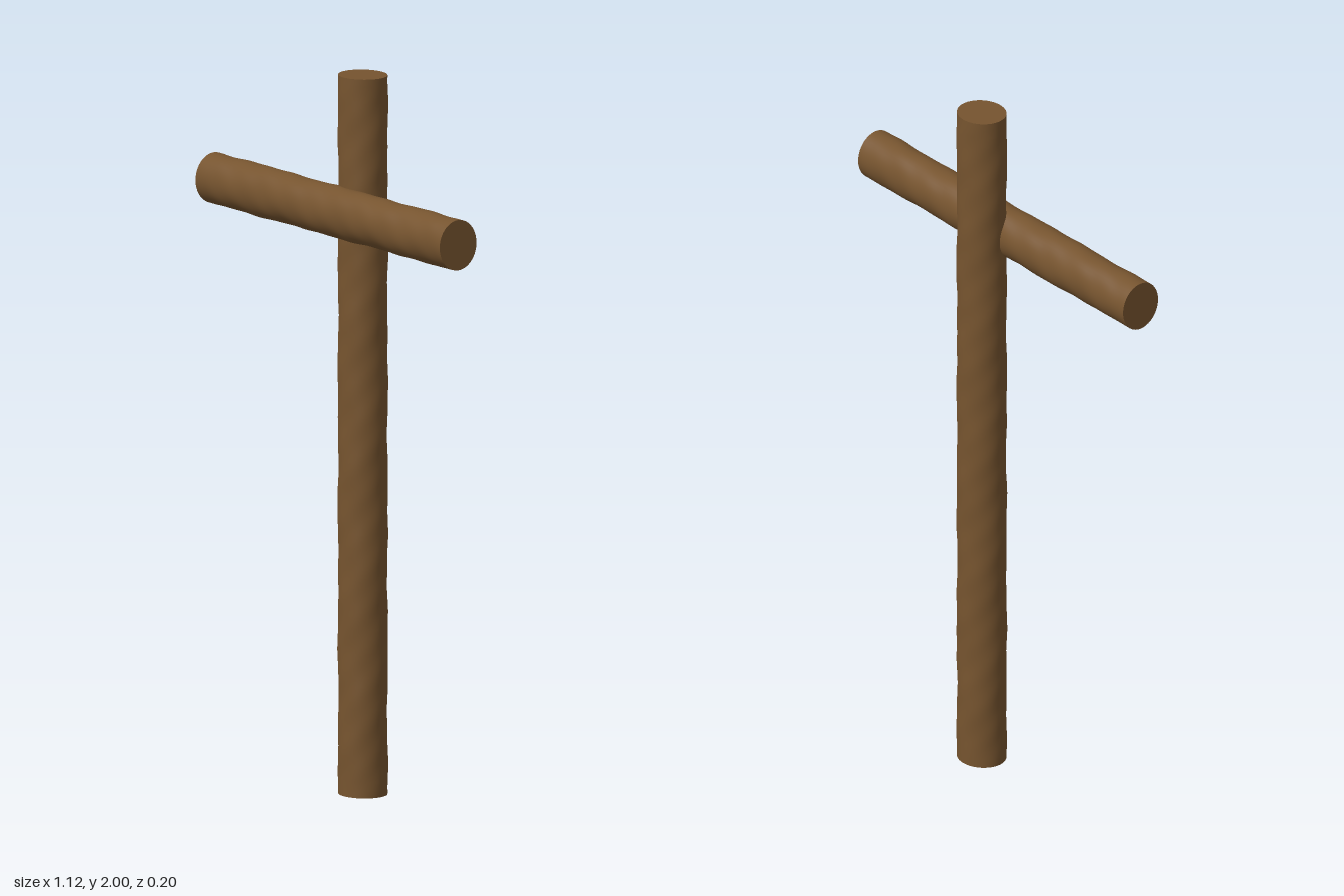
import * as THREE from 'three';
import { mergeVertices } from 'three/addons/utils/BufferGeometryUtils.js';

const SIDES = 40;

// A slightly uneven round log along y, with an oval section and flat sawn ends
function makeLog(name, length, rx, rz, seed, material) {
  const log = new THREE.Group();
  log.name = name;

  const rows = Math.round(length * 45);
  const bark = new THREE.CylinderGeometry(1, 1, length, SIDES, rows, true);
  bark.deleteAttribute('uv');
  bark.deleteAttribute('normal');
  const p = bark.attributes.position;
  for (let i = 0; i < p.count; i++) {
    const y = p.getY(i);
    const a = Math.atan2(p.getZ(i), p.getX(i));
    // Shallow bumps that fade out at the ends
    const fade = Math.min(1, (length / 2 - Math.abs(y)) / 0.06);
    const bump = 0.014 * Math.sin(17 * y + 2 * a + seed)
      + 0.012 * Math.sin(31 * y - 3 * a + 2.3 * seed)
      + 0.008 * Math.sin(58 * y + 4 * a + 3.1 * seed);
    const r = 1 + bump * fade;
    p.setXYZ(i, Math.cos(a) * rx * r, y, Math.sin(a) * rz * r);
  }
  const smooth = mergeVertices(bark, 1e-5);
  smooth.computeVertexNormals();
  const body = new THREE.Mesh(smooth, material);
  body.name = name + 'Bark';
  log.add(body);

  // Sawn ends
  for (const s of [1, -1]) {
    const disc = new THREE.CircleGeometry(1, SIDES);
    disc.scale(rx, rz, 1);
    disc.rotateX(-s * Math.PI / 2);
    const end = new THREE.Mesh(disc, material);
    end.name = name + (s > 0 ? 'TopEnd' : 'BottomEnd');
    end.position.y = s * length / 2;
    log.add(end);
  }
  return log;
}

export function createModel() {
  const model = new THREE.Group();
  model.name = 'woodenCross';

  const wood = new THREE.MeshStandardMaterial({ color: 0x76542f });
  wood.name = 'brown wood';

  // Upright post
  const post = makeLog('post', 2, 0.071, 0.065, 0.7, wood);
  post.position.set(0.03, 1, -0.034);
  model.add(post);

  // Crossbeam lying on the front of the post
  const beam = makeLog('crossbeam', 1.125, 0.07, 0.062, 2.9, wood);
  beam.rotation.z = Math.PI / 2;
  beam.position.set(0, 1.623, 0.034);
  model.add(beam);

  return model;
}
